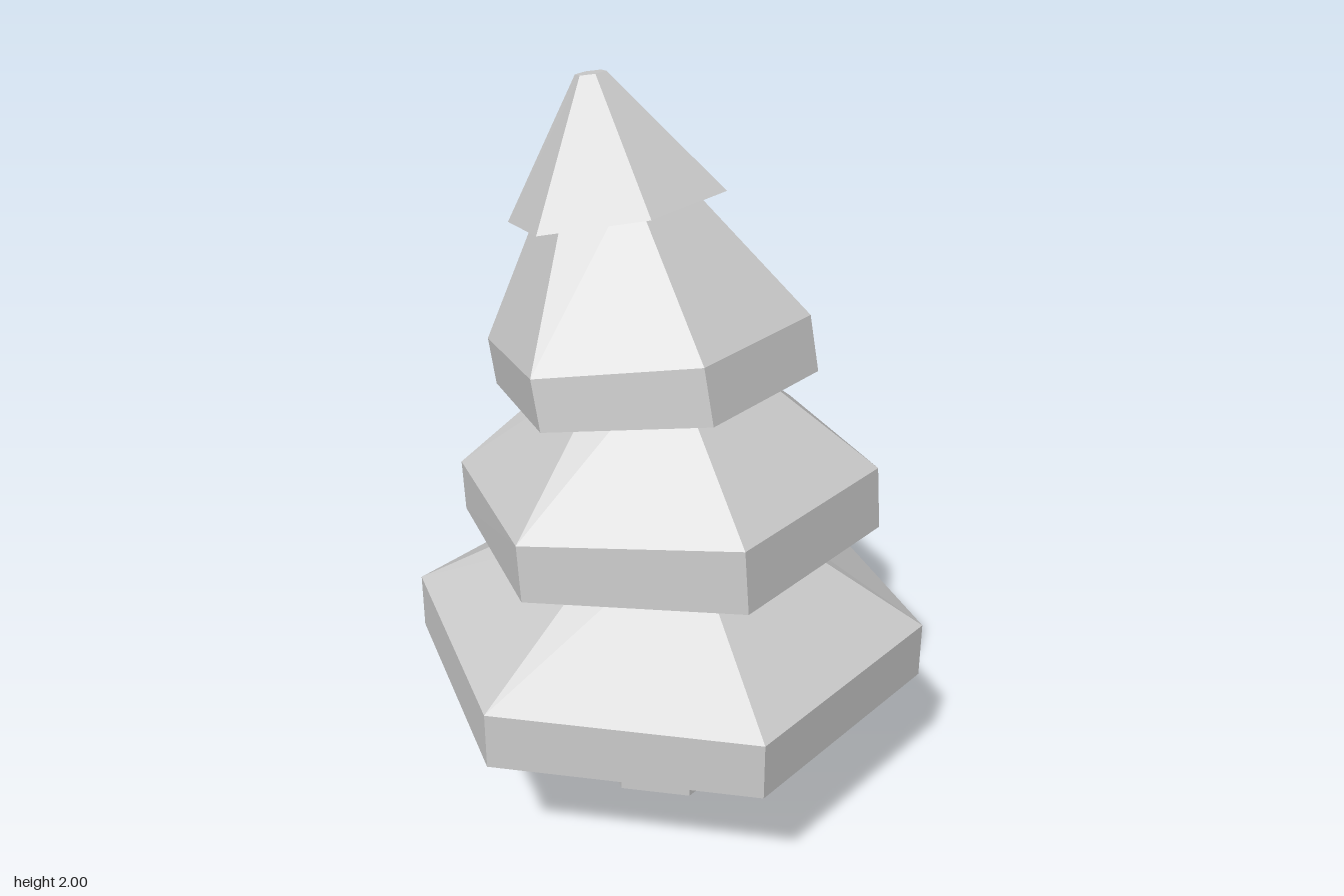
import * as THREE from 'three';

const SIDES = 6;
const material = new THREE.MeshStandardMaterial({ color: 0xcccccc, flatShading: true });

// Skin tilted hexagonal rings, listed from the underside outwards and up.
// Each ring is [left x, left y, right x, right y, depth radius].
function loftHex(rings) {
  const positions = [], index = [];
  for (const [xl, yl, xr, yr, r] of rings) {
    for (let j = 0; j < SIDES; j++) {
      const a = (j / SIDES) * Math.PI * 2;
      const t = Math.sin(a) / Math.sin(Math.PI / 3); // -1 at the left flat, 1 at the right flat
      positions.push((xl + xr) / 2 + (t * (xr - xl)) / 2, (yl + yr) / 2 + (t * (yr - yl)) / 2, r * Math.cos(a));
    }
  }
  for (let i = 0; i < rings.length - 1; i++) {
    for (let j = 0; j < SIDES; j++) {
      const k = (j + 1) % SIDES;
      const a = i * SIDES + j, b = i * SIDES + k, c = b + SIDES, d = a + SIDES;
      if (rings[i][4] > 0) index.push(a, b, c);
      if (rings[i + 1][4] > 0) index.push(a, c, d);
    }
  }
  const indexed = new THREE.BufferGeometry();
  indexed.setAttribute('position', new THREE.Float32BufferAttribute(positions, 3));
  indexed.setIndex(index);
  const geometry = indexed.toNonIndexed();
  geometry.computeVertexNormals();
  return geometry;
}

// A ring shrunk to its middle point, raised by lift
function middle([xl, yl, xr, yr], lift = 0) {
  const x = (xl + xr) / 2, y = (yl + yr) / 2 + lift;
  return [x, y, x, y, 0];
}

// Branch tiers: lower rim, upper rim (absent on the tip), narrow top
const tiers = {
  bottomBranches: [
    [-0.62, 0.38, 0.62, 0.38, 0.712],
    [-0.62, 0.54, 0.62, 0.54, 0.712],
    [-0.16, 0.85, 0.16, 0.87, 0.19],
  ],
  lowerBranches: [
    [-0.49, 0.783, 0.505, 0.84, 0.57],
    [-0.498, 0.927, 0.49, 1.012, 0.57],
    [-0.195, 1.275, 0.085, 1.34, 0.165],
  ],
  upperBranches: [
    [-0.415, 1.165, 0.333, 1.27, 0.432],
    [-0.44, 1.29, 0.302, 1.418, 0.432],
    [-0.33, 1.71, -0.045, 1.77, 0.16],
  ],
  treeTop: [
    [-0.415, 1.603, 0.078, 1.718, 0.293],
    [-0.282, 1.987, -0.212, 2.0, 0.04],
  ],
};

export function createModel() {
  const group = new THREE.Group();
  group.name = 'tree';

  // Trunk, reaching up into the hollow underside
  const trunk = new THREE.Mesh(new THREE.CylinderGeometry(0.198, 0.198, 0.45, SIDES), material);
  trunk.name = 'trunk';
  trunk.position.y = 0.225;
  group.add(trunk);

  // Leaning tiers, each with a slightly hollow underside
  for (const [name, rings] of Object.entries(tiers)) {
    const profile = [middle(rings[0], 0.04), ...rings, middle(rings[rings.length - 1])];
    const tier = new THREE.Mesh(loftHex(profile), material);
    tier.name = name;
    group.add(tier);
  }
  return group;
}
